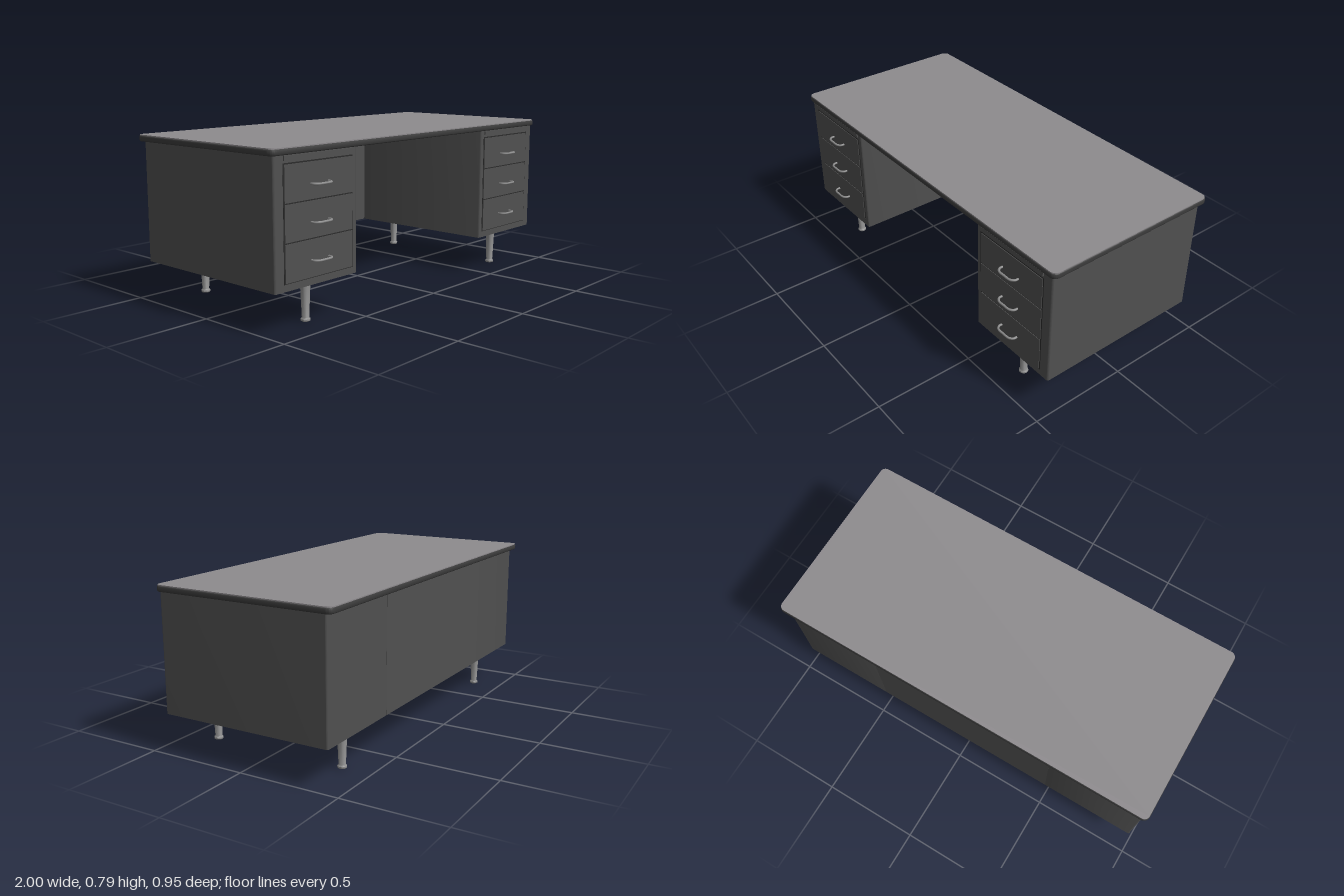
import * as THREE from 'three';
import { toCreasedNormals } from 'three/addons/utils/BufferGeometryUtils.js';

const material = (name, color) => Object.assign(new THREE.MeshStandardMaterial({ color }), { name });

// Horizontal slab with rounded plan corners and an optional bevel, given by its outer limits.
function slab(x0, x1, y0, y1, z0, z1, radius, bevel = 0) {
  const [l, r, b, t] = [x0 + bevel, x1 - bevel, -z1 + bevel, -z0 - bevel];
  const c = Math.max(radius - bevel, 0.001);
  const s = new THREE.Shape();
  s.moveTo(l + c, b);
  s.lineTo(r - c, b);
  s.absarc(r - c, b + c, c, -Math.PI / 2, 0);
  s.lineTo(r, t - c);
  s.absarc(r - c, t - c, c, 0, Math.PI / 2);
  s.lineTo(l + c, t);
  s.absarc(l + c, t - c, c, Math.PI / 2, Math.PI);
  s.lineTo(l, b + c);
  s.absarc(l + c, b + c, c, Math.PI, Math.PI * 1.5);
  const geo = new THREE.ExtrudeGeometry(s, {
    depth: y1 - y0 - 2 * bevel, curveSegments: 6,
    bevelEnabled: bevel > 0, bevelSize: bevel, bevelThickness: bevel, bevelSegments: 4,
  });
  geo.rotateX(-Math.PI / 2);
  geo.translate(0, y0 + bevel, 0);
  return toCreasedNormals(geo, 0.6);
}

function box(x0, x1, y0, y1, z0, z1) {
  return new THREE.BoxGeometry(x1 - x0, y1 - y0, z1 - z0)
    .translate((x0 + x1) / 2, (y0 + y1) / 2, (z0 + z1) / 2);
}

export function createModel() {
  const bodyPaint = material('dark grey enamel', 0x505050);
  const edgeTrim = material('edge trim', 0x3c3c3c);
  const topGrey = material('grey laminate', 0x8e8b8e);
  const metal = material('brushed metal', 0x8c8c8c);
  const gapDark = material('shadow gap', 0x2c2c2c);

  const desk = new THREE.Group();
  desk.name = 'desk';
  const add = (name, geo, mat, parent = desk) => {
    const mesh = new THREE.Mesh(geo, mat);
    mesh.name = name;
    parent.add(mesh);
    return mesh;
  };

  // Desktop: rounded dark edge with the laminate laid on it
  add('desktopEdge', slab(-1, 1, 0.755, 0.784, -0.473, 0.443, 0.03, 0.009), edgeTrim);
  add('desktopSurface', slab(-0.997, 0.997, 0.782, 0.787, -0.47, 0.44, 0.028), topGrey);

  // Back panel joining the pedestals
  add('backPanel', box(-0.49, 0.49, 0.187, 0.756, -0.44, -0.38), bodyPaint);

  // Drawer pull: a flat rounded loop standing out from the drawer
  const pullCurve = new THREE.CatmullRomCurve3([
    [-0.052, 0.428], [-0.052, 0.45], [-0.036, 0.465], [0, 0.467],
    [0.036, 0.465], [0.052, 0.45], [0.052, 0.428],
  ].map(([x, z]) => new THREE.Vector3(x, 0, z)));
  const pullGeo = new THREE.TubeGeometry(pullCurve, 32, 0.0055, 8);

  // Leg: tapered shaft with a small rounded foot
  const legGeo = toCreasedNormals(new THREE.LatheGeometry([
    [0, 0], [0.018, 0], [0.022, 0.004], [0.022, 0.011], [0.018, 0.015],
    [0.0165, 0.018], [0.0235, 0.184], [0, 0.184],
  ].map(([x, y]) => new THREE.Vector2(x, y)), 24), 0.7);

  const drawers = [[0.557, 0.716], [0.392, 0.551], [0.222, 0.386]];
  const pullHeights = [0.623, 0.46, 0.296];

  for (const [side, name] of [[1, 'left'], [-1, 'right']]) {
    const pedestal = new THREE.Group();
    pedestal.name = name + 'Pedestal';
    desk.add(pedestal);
    const cx = side * 0.72;
    const inner = side * 0.485, outer = side * 0.98;
    add('cabinet', slab(Math.min(inner, outer), Math.max(inner, outer), 0.187, 0.756, -0.44, 0.43, 0.008),
      bodyPaint, pedestal);

    // Thin dark gaps framing the drawers
    add('drawerGap', box(cx - 0.209, cx + 0.209, 0.218, 0.722, 0.427, 0.431), gapDark, pedestal);

    // Pull-out writing board
    add('writingBoard', box(cx - 0.205, cx + 0.205, 0.732, 0.752, 0.42, 0.436), bodyPaint, pedestal);

    // Drawers and pulls
    drawers.forEach(([y0, y1], i) => {
      add('drawerFront', box(cx - 0.203, cx + 0.203, y0, y1, 0.425, 0.434), bodyPaint, pedestal);
      add('drawerPull', pullGeo, metal, pedestal).position.set(cx, pullHeights[i], 0);
    });

    // Legs and mounting plates
    for (const z of [0.345, -0.35]) {
      add('leg', legGeo, metal, pedestal).position.set(side * 0.725, 0, z);
      add('legPlate', box(side * 0.725 - 0.047, side * 0.725 + 0.047, 0.182, 0.188, z - 0.047, z + 0.047),
        metal, pedestal);
    }
  }
  return desk;
}
